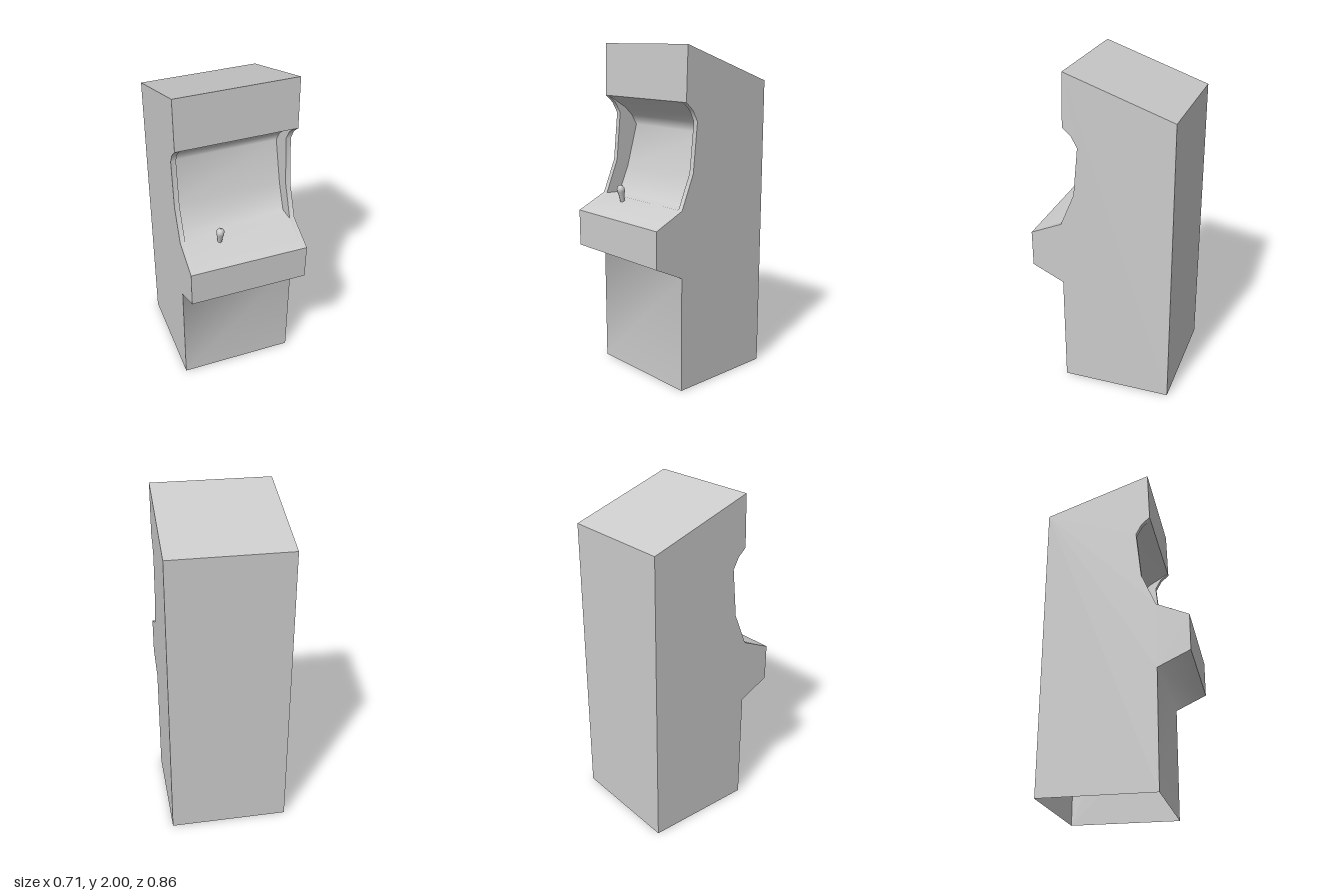
import * as THREE from 'three';

const W = 0.357;   // half width of the cabinet
const S = 0.327;   // half width of the screen recess

// Profile points are [z, y], running from the front foot over the top to the back foot.
const lowerFront = [[0.24, 0], [0.24, 0.695], [0.43, 0.785]];
const sill = [[0.43, 0.785], [0.43, 1.005]];
const control = [[0.43, 1.005], [0.24, 1.09]];
const rim = [[0.24, 1.09], [0.155, 1.29], [0.125, 1.58], [0.16, 1.645], [0.21, 1.69]];
const recess = [[0.24, 1.09], [0.14, 1.085], [0.07, 1.24], [-0.005, 1.5], [0.03, 1.56], [0.08, 1.61], [0.21, 1.69]];
const marquee = [[0.21, 1.69], [0.2, 2]];
const roof = [[0.2, 2], [-0.43, 1.785]];
const back = [[-0.43, 1.785], [-0.43, 0]];

export function createModel() {
  const model = new THREE.Group();
  const material = new THREE.MeshStandardMaterial({ color: 0xcccccc, side: THREE.DoubleSide });

  const add = (name, geometry) => {
    const mesh = new THREE.Mesh(geometry, material);
    mesh.name = name;
    model.add(mesh);
    return mesh;
  };

  // Sheet that follows a profile between two x positions, smooth along the profile
  const strip = (name, path, x0 = -W, x1 = W) => {
    const positions = [], index = [];
    path.forEach(([z, y], i) => {
      positions.push(x0, y, z, x1, y, z);
      const a = 2 * i;
      if (i < path.length - 1) index.push(a, a + 1, a + 3, a, a + 3, a + 2);
    });
    const g = new THREE.BufferGeometry();
    g.setAttribute('position', new THREE.Float32BufferAttribute(positions, 3));
    g.setIndex(index);
    g.computeVertexNormals();
    return add(name, g);
  };

  // Flat plate in the z-y plane at x, facing dir (+1 or -1) along x
  const plate = (name, points, x, dir) => {
    const shape = new THREE.Shape(points.map(([z, y]) => new THREE.Vector2(-dir * z, y)));
    const g = new THREE.ShapeGeometry(shape).rotateY(dir * Math.PI / 2);
    return add(name, g.translate(x, 0, 0));
  };

  // Front, roof and back panels; the cabinet is hollow and open underneath
  strip('lowerFront', lowerFront);
  strip('controlSill', sill);
  strip('controlPanelAndScreen', [...control, ...recess.slice(1)], -S, S);
  strip('marquee', marquee);
  strip('roof', roof);
  strip('back', back);

  // Side panels, screen rims and recess walls
  const outline = [...lowerFront, sill[1], ...rim, marquee[1], roof[1], back[1]];
  const wall = [...rim, ...recess.slice(1, -1).reverse()];
  for (const [dir, label] of [[1, 'left'], [-1, 'right']]) {
    plate(label + 'Side', outline, dir * W, dir);
    plate(label + 'RecessWall', wall, dir * S, -dir);
    const xs = [dir * S, dir * W].sort((a, b) => a - b);
    strip(label + 'Rim', [...control, ...rim.slice(1)], ...xs);
  }

  // Joystick, tilted slightly forward
  const stick = [[0.012, -0.01], [0.018, 0.045], [0.024, 0.068], [0.024, 0.083], [0.016, 0.1], [0, 0.106]];
  const joystick = add('joystick', new THREE.LatheGeometry(stick.map(([r, y]) => new THREE.Vector2(r, y)), 8));
  joystick.position.set(-0.13, 1.07, 0.273);
  joystick.rotation.x = 0.17;

  return model;
}
